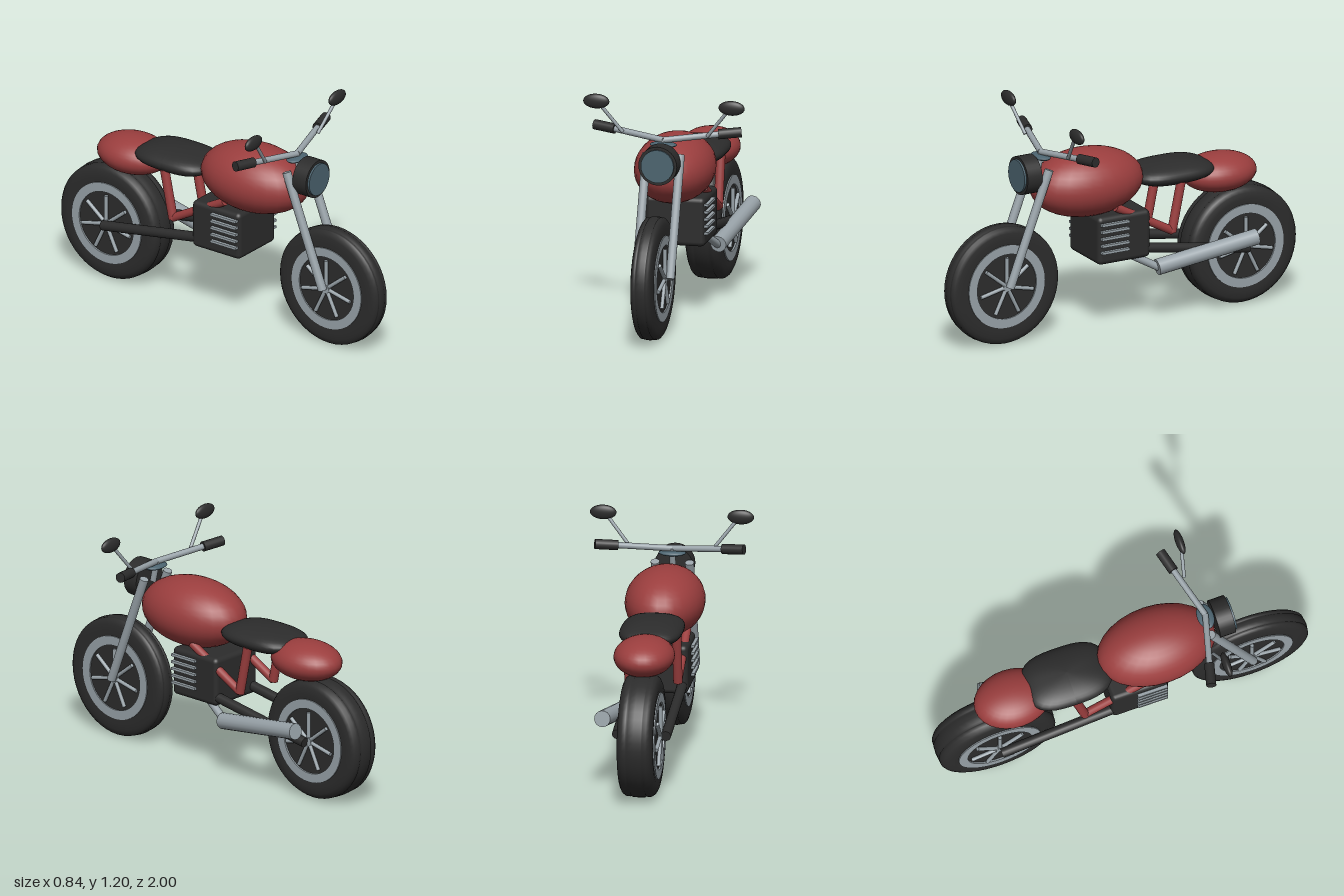
import * as THREE from 'three';
import { RoundedBoxGeometry } from 'three/addons/geometries/RoundedBoxGeometry.js';

const material = (name, color) => Object.assign(new THREE.MeshStandardMaterial({ color }), { name });
const V = (x, y, z) => new THREE.Vector3(x, y, z);

export function createModel() {
  const model = new THREE.Group();
  model.name = 'motorcycle';
  const red = material('red paint', 0x9b3e3e);
  const black = material('black rubber', 0x2c2c2c);
  const metal = material('grey metal', 0x98a2a8);
  const glass = material('blue grey glass', 0x4c6470);

  function add(name, geometry, mat, x = 0, y = 0, z = 0, parent = model) {
    const mesh = new THREE.Mesh(geometry, mat);
    mesh.name = name;
    mesh.position.set(x, y, z);
    parent.add(mesh);
    return mesh;
  }

  // Straight round bar between two points
  function bar(name, a, b, radius, mat, parent = model) {
    const geometry = new THREE.CylinderGeometry(radius, radius, a.distanceTo(b), 16);
    const mesh = add(name, geometry, mat, 0, 0, 0, parent);
    mesh.position.copy(a).add(b).multiplyScalar(0.5);
    mesh.quaternion.setFromUnitVectors(V(0, 1, 0), b.clone().sub(a).normalize());
    return mesh;
  }

  function ellipsoid(name, mat, center, half) {
    const geometry = new THREE.SphereGeometry(1, 28, 20).scale(...half);
    return add(name, geometry, mat, ...center);
  }

  // Wheels: tyre, rim and spokes around the x axis
  function wheel(name, z, w) {
    const group = new THREE.Group();
    group.name = name;
    group.position.set(0, 0.32, z);
    model.add(group);
    const half = [[0.19, 0.96], [0.225, 0.98], [0.25, 1], [0.28, 0.96], [0.298, 0.86],
      [0.31, 0.68], [0.311, 0.48], [0.306, 0.42], [0.313, 0.34], [0.315, 0]];
    const profile = [
      ...half.map(([r, x]) => new THREE.Vector2(r, -x * w)),
      ...half.slice(0, -1).reverse().map(([r, x]) => new THREE.Vector2(r, x * w)),
    ];
    add('tyre', new THREE.LatheGeometry(profile, 48).rotateZ(-Math.PI / 2), black, 0, 0, 0, group);
    add('wheelDisc', new THREE.CylinderGeometry(0.2, 0.2, w * 1.9, 40).rotateZ(Math.PI / 2), black, 0, 0, 0, group);
    add('hub', new THREE.CylinderGeometry(0.024, 0.024, w * 2 + 0.03, 16).rotateZ(Math.PI / 2), metal, 0, 0, 0, group);
    for (const side of [-1, 1]) {
      const ring = new THREE.Shape().absarc(0, 0, 0.22, 0, Math.PI * 2);
      ring.holes.push(new THREE.Path().absarc(0, 0, 0.172, 0, Math.PI * 2, true));
      const rim = new THREE.ExtrudeGeometry(ring, { depth: 0.012, bevelEnabled: false, curveSegments: 40 });
      rim.translate(0, 0, -0.006).rotateY(Math.PI / 2);
      add('rim', rim, metal, side * (w - 0.002), 0, 0, group);
      for (let i = 0; i < 7; i++) {
        const a = Math.PI / 2 + (i * Math.PI * 2) / 7;
        const x = side * (w + 0.005);
        bar('spoke', V(x, 0, 0), V(x, Math.sin(a) * 0.155, Math.cos(a) * 0.155), 0.01, metal, group);
      }
    }
  }
  wheel('frontWheel', 0.685, 0.056);
  wheel('rearWheel', -0.685, 0.092);

  // Bodywork
  ellipsoid('fuelTank', red, [0, 0.785, 0.19], [0.203, 0.176, 0.312]);
  ellipsoid('tail', red, [0, 0.71, -0.582], [0.155, 0.1, 0.203]);

  // Seat: cushion with a squarish plan and thin edges
  const seat = new THREE.SphereGeometry(1, 40, 20);
  const p = seat.attributes.position;
  for (let i = 0; i < p.count; i++) {
    const x = p.getX(i), z = p.getZ(i), r = Math.hypot(x, z);
    if (r < 1e-5) continue;
    const grow = 1 / Math.pow(Math.abs(x / r) ** 3 + Math.abs(z / r) ** 3, 1 / 3);
    p.setX(i, x * grow);
    p.setZ(i, z * grow);
  }
  seat.scale(0.16, 0.063, 0.227);
  seat.computeVertexNormals();
  add('seat', seat, black, 0, 0.767, -0.293);

  // Engine block with cooling fins
  add('engine', new RoundedBoxGeometry(0.31, 0.255, 0.305, 3, 0.025), black, 0, 0.503, 0.052);
  for (let i = 0; i < 5; i++) {
    add('coolingFin', new THREE.BoxGeometry(0.345, 0.013, 0.16), metal, 0, 0.593 - i * 0.037, 0.113);
  }

  // Headlight and gauge
  add('headlightCase', new THREE.CylinderGeometry(0.1, 0.1, 0.085, 32).rotateX(Math.PI / 2), black, 0, 0.88, 0.543);
  add('headlightLens', new THREE.CylinderGeometry(0.085, 0.085, 0.012, 32).rotateX(Math.PI / 2), glass, 0, 0.88, 0.59);
  ellipsoid('gauge', glass, [0, 0.963, 0.455], [0.07, 0.015, 0.043]);
  bar('steeringStem', V(0, 0.88, 0.475), V(0, 0.99, 0.45), 0.016, metal);

  // Parts mirrored on both sides
  for (const s of [-1, 1]) {
    bar('forkLeg', V(s * 0.088, 0.32, 0.682), V(s * 0.088, 0.915, 0.455), 0.023, metal);
    bar('handlebar', V(0, 0.987, 0.455), V(s * 0.28, 1.015, 0.378), 0.016, metal);
    bar('grip', V(s * 0.268, 1.014, 0.38), V(s * 0.382, 1.024, 0.35), 0.026, black);
    bar('mirrorStem', V(s * 0.22, 1.01, 0.42), V(s * 0.335, 1.155, 0.445), 0.009, metal);
    ellipsoid('mirror', black, [s * 0.352, 1.168, 0.443], [0.068, 0.038, 0.021]);
    bar('frameTube', V(s * 0.125, 0.665, 0.09), V(s * 0.125, 0.485, -0.24), 0.022, red);
    bar('seatStrut', V(s * 0.125, 0.48, -0.238), V(s * 0.125, 0.74, -0.292), 0.024, red);
    bar('swingArm', V(s * 0.125, 0.425, -0.05), V(s * 0.125, 0.32, -0.685), 0.026, black);
  }

  // Exhaust on the left side
  bar('exhaustPipe', V(0.1, 0.41, 0.03), V(0.142, 0.31, -0.15), 0.02, metal);
  bar('muffler', V(0.147, 0.312, -0.14), V(0.2, 0.4, -0.69), 0.042, metal);

  return model;
}
